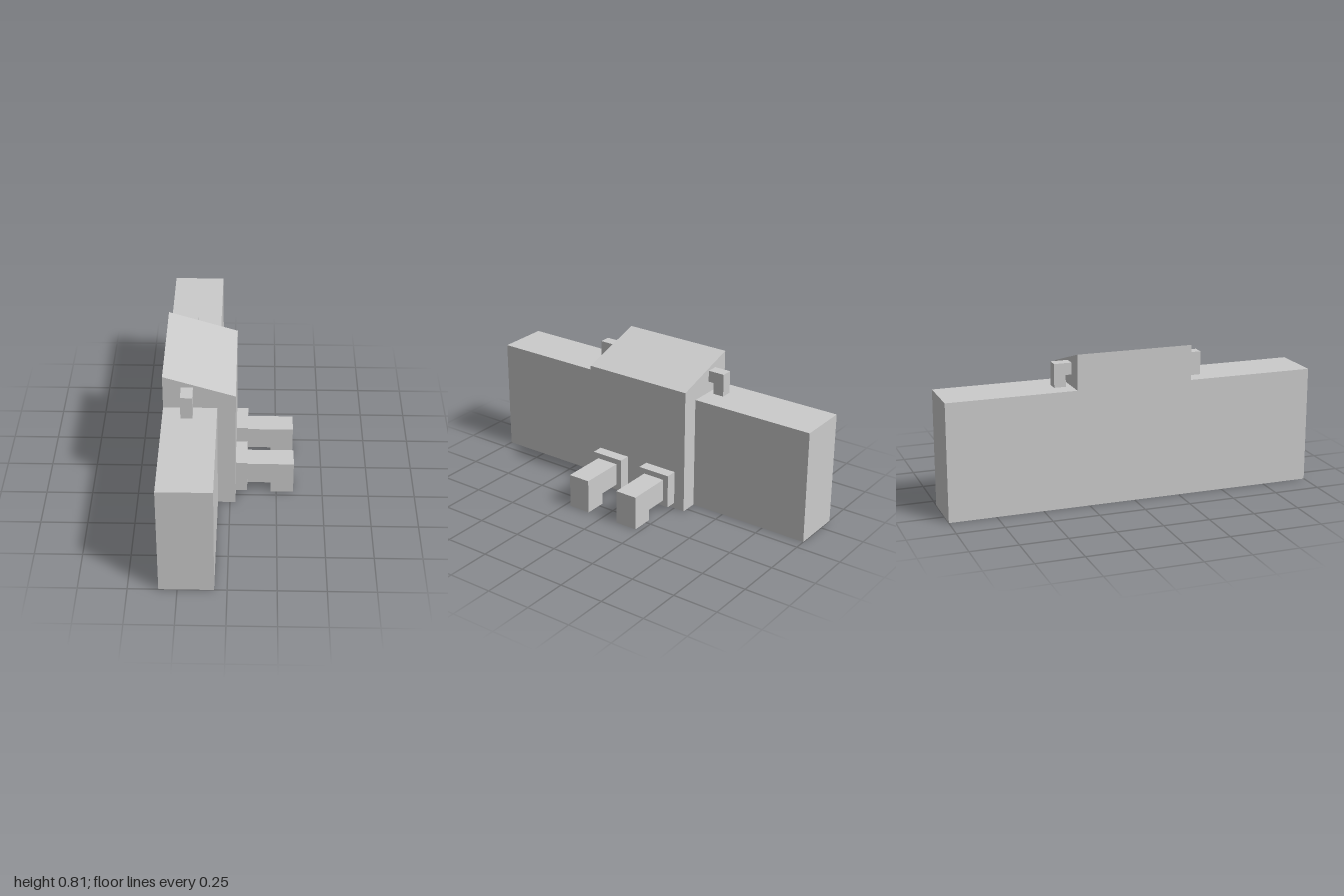
import * as THREE from 'three';

const material = new THREE.MeshStandardMaterial({ color: 0xcccccc, flatShading: true });

function mesh(name, geometry) {
  const m = new THREE.Mesh(geometry, material);
  m.name = name;
  return m;
}

// Box given by its limits on each axis
function box(name, [x0, x1], [y0, y1], [z0, z1]) {
  const g = new THREE.BoxGeometry(x1 - x0, y1 - y0, z1 - z0);
  g.translate((x0 + x1) / 2, (y0 + y1) / 2, (z0 + z1) / 2);
  return mesh(name, g);
}

// Outline in x and y, extruded from z0 to z1
function prism(points, z0, z1) {
  const shape = new THREE.Shape(points.map(([x, y]) => new THREE.Vector2(x, y)));
  const g = new THREE.ExtrudeGeometry(shape, { depth: z1 - z0, bevelEnabled: false });
  return g.translate(0, 0, z0);
}

export function createModel() {
  const model = new THREE.Group();
  model.name = 'wallBlock';
  const back = -0.344, front = 0.03, half = 0.3125;

  // Central block with sloping roof
  model.add(mesh('centralBlock', prism(
    [[back, 0], [front, 0], [front, 0.698], [back, 0.813]], -half, half)));

  for (const s of [1, -1]) {
    const side = s > 0 ? 'front' : 'rear';
    const span = (a, b) => (s > 0 ? [a, b] : [-b, -a]);

    // Long wing beside the block
    model.add(box(side + 'Wing', [back, -0.065], [0, 0.625], span(half, 1)));

    // Bent pipe from the block down onto the wing
    const pipe = prism([[half, 0.6875], [0.344, 0.6875], [0.344, 0.625],
      [0.406, 0.625], [0.406, 0.75], [half, 0.75]], -0.031, 0.031);
    pipe.rotateY(-s * Math.PI / 2).translate(-0.219, 0, 0);
    model.add(mesh(side + 'Pipe', pipe));

    // Mounting plate and bent spout
    model.add(box(side + 'SpoutPlate', [front, 0.092], [0.032, 0.22], span(0.0625, 0.25)));
    model.add(mesh(side + 'Spout', prism(
      [[0.092, 0.0635], [0.219, 0.0635], [0.219, 0], [0.342, 0], [0.342, 0.189], [0.092, 0.189]],
      ...span(0.094, 0.219))));
  }
  return model;
}
